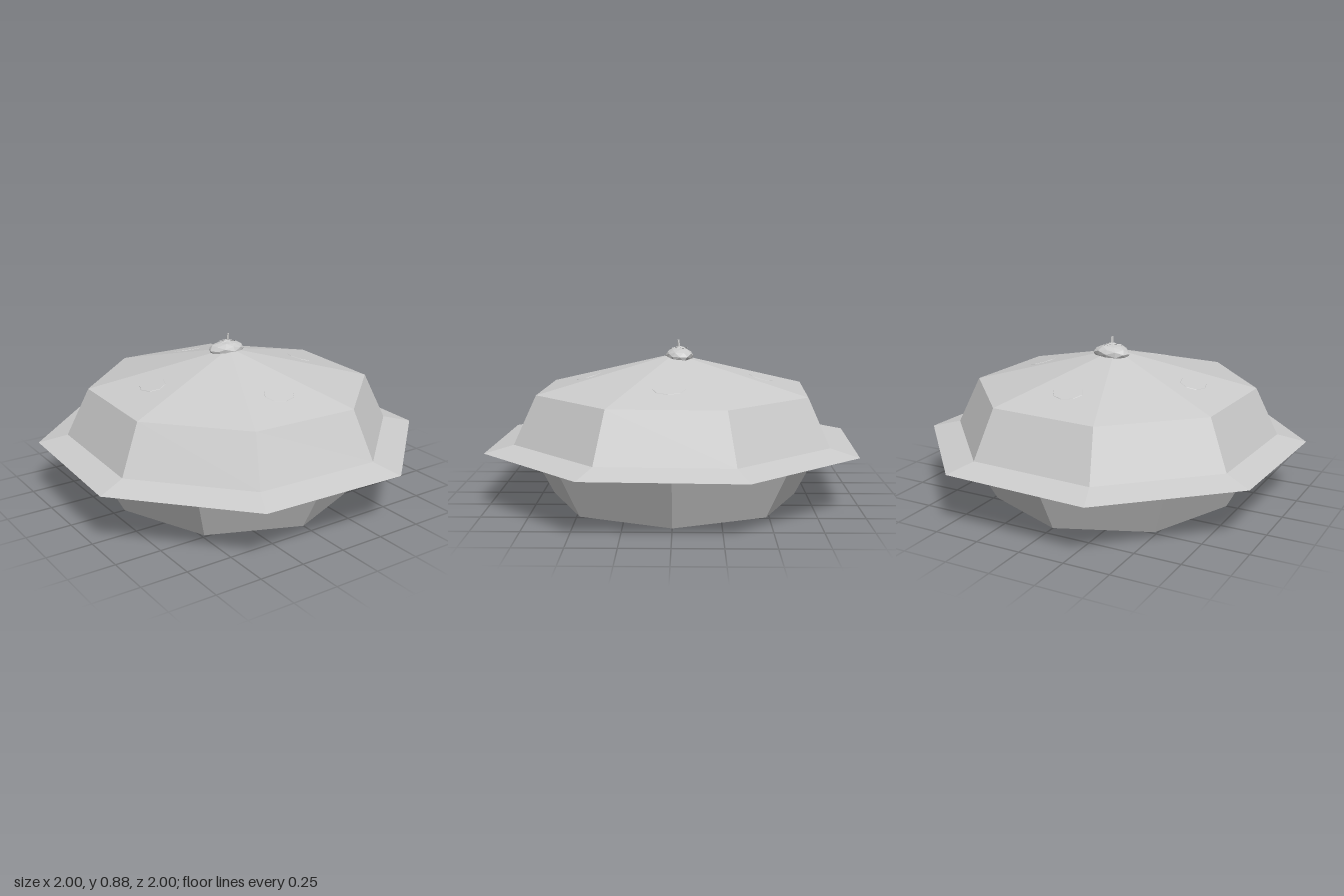
import * as THREE from 'three';

const SIDES = 8;
const CRUST_TURN = THREE.MathUtils.degToRad(20.2);

export function createModel() {
  const model = new THREE.Group();
  model.name = 'pie';
  const material = new THREE.MeshStandardMaterial({ color: 0xcccccc, flatShading: true });

  const add = (parent, name, geometry, x = 0, y = 0, z = 0) => {
    const mesh = new THREE.Mesh(geometry, material);
    mesh.name = name;
    mesh.position.set(x, y, z);
    parent.add(mesh);
    return mesh;
  };
  const lathe = (profile, turn) => new THREE.LatheGeometry(
    profile.map(([r, y]) => new THREE.Vector2(r, y)), SIDES, turn);

  // Tapered dish, with corners on the axes
  add(model, 'dish', lathe([[0, 0], [0.685, 0], [0.85, 0.31]], 0));

  // Crust: flat underside, thin rim, steep shoulder and shallow peak
  add(model, 'crust', lathe(
    [[0, 0.308], [1.065, 0.308], [0.905, 0.345], [0.78, 0.605], [0, 0.8]], CRUST_TURN));

  // Four shallow vents, almost flush with every second crust facet
  const slope = Math.atan2(0.195, 0.78 * Math.cos(Math.PI / SIDES));
  for (let i = 0; i < 4; i++) {
    const holder = new THREE.Group();
    holder.name = 'ventHolder';
    holder.rotation.y = CRUST_TURN - Math.PI / SIDES + i * Math.PI / 2;
    const vent = add(holder, 'vent', new THREE.CylinderGeometry(0.085, 0.095, 0.01, 8),
      0, 0.8 - 0.48 * Math.tan(slope) - 0.003, 0.48);
    vent.rotation.x = slope;
    vent.scale.z = 0.8;
    model.add(holder);
  }

  // Faceted berry on the peak
  const berry = new THREE.Group();
  berry.name = 'berryTopping';
  berry.position.set(0.003, 0.79, -0.03);
  model.add(berry);
  const body = new THREE.IcosahedronGeometry(1, 1);
  const pos = body.attributes.position;
  for (let i = 0; i < pos.count; i++) {
    const x = pos.getX(i), y = pos.getY(i), z = pos.getZ(i);
    // Uneven lumps, and a shallow dimple at the stem
    const lump = 0.97 + 0.06 * Math.sin(4 * x + 3 * z + 2 * y);
    const dimple = Math.max(0, y - 0.75) * 0.6;
    pos.setXYZ(i, x * lump * 0.107, (y * lump - dimple) * 0.048, z * lump * 0.08);
  }
  add(berry, 'berry', body);

  // Pointed leaves around a short stem
  for (let i = 0; i < 5; i++) {
    const holder = new THREE.Group();
    holder.name = 'leafHolder';
    holder.rotation.y = i * Math.PI * 2 / 5;
    const leaf = add(holder, 'leaf', new THREE.ConeGeometry(0.016, 0.055, 4), 0, 0.043, 0.026);
    leaf.rotation.x = Math.PI / 2 + 0.15;
    leaf.scale.z = 0.4;
    berry.add(holder);
  }
  const stem = add(berry, 'stem', new THREE.CylinderGeometry(0.006, 0.009, 0.055, 5), 0.002, 0.06, 0.004);
  stem.rotation.x = 0.1;

  return model;
}
